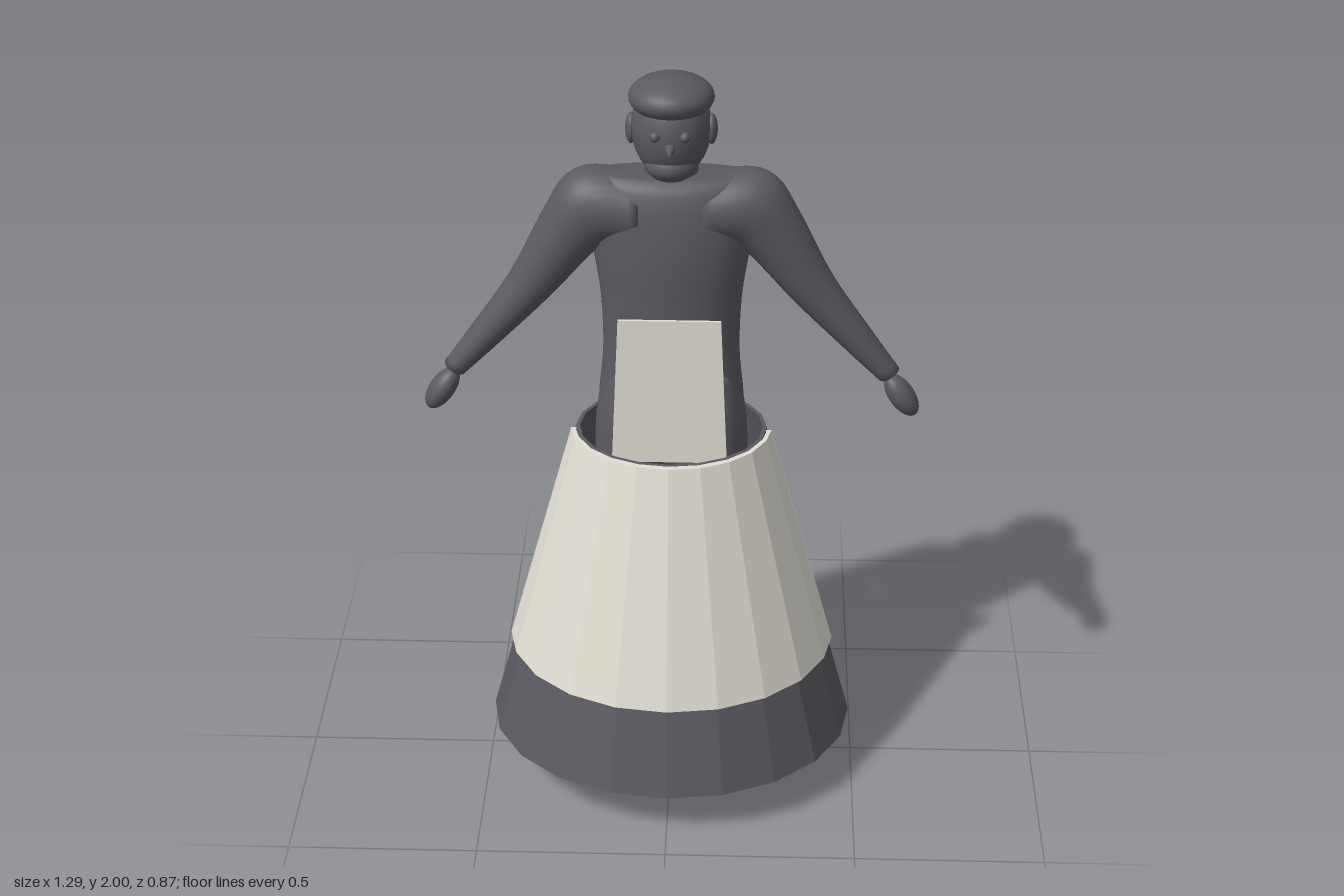
import * as THREE from 'three';
import { RoundedBoxGeometry } from 'three/addons/geometries/RoundedBoxGeometry.js';

const mat = (name, color) => {
  const m = new THREE.MeshStandardMaterial({ color });
  m.name = name;
  return m;
};

// Skin over elliptical rings. Row: [x, y, angle of first axis, radius in plane, radius in z].
function loft(rows, sides, arc = Math.PI * 2, minZ = -Infinity) {
  const pos = [], idx = [], closed = arc > 6, n = closed ? sides : sides + 1;
  rows.forEach(([x, y, a, ru, rz]) => {
    for (let j = 0; j < n; j++) {
      const t = (j / sides) * arc, u = Math.cos(t) * ru;
      pos.push(x + Math.cos(a) * u, y + Math.sin(a) * u, Math.max(minZ, Math.sin(t) * rz));
    }
  });
  for (let i = 0; i < rows.length - 1; i++) {
    for (let j = 0; j < sides; j++) {
      const k = (j + 1) % n, a = i * n + j, b = i * n + k;
      idx.push(a, b, a + n, b, b + n, a + n);
    }
  }
  const g = new THREE.BufferGeometry();
  g.setAttribute('position', new THREE.Float32BufferAttribute(pos, 3));
  g.setIndex(idx);
  g.computeVertexNormals();
  return g;
}

// Smoothly interpolated limb with closed ends.
function limb(rows, sides = 32, steps = 28) {
  const curve = new THREE.CubicInterpolant(rows.map((_, i) => i), rows.flat(), 5);
  const out = [];
  for (let i = 0; i <= steps; i++) out.push(Array.from(curve.evaluate((i / steps) * (rows.length - 1))));
  const tip = (r) => [r[0], r[1], r[2], 0, 0];
  return loft([tip(out[0]), ...out, tip(out[steps])], sides);
}

function faceted(g) {
  const f = g.toNonIndexed();
  f.computeVertexNormals();
  return f;
}

export function createModel() {
  const model = new THREE.Group();
  const dark = mat('charcoal', 0x5a5a61);
  const cream = mat('cream', 0xe2dfd4);
  const grey = mat('grey', 0x9c9c9e);

  const add = (name, geometry, material, x = 0, y = 0, z = 0) => {
    const m = new THREE.Mesh(geometry, material);
    m.name = name;
    m.position.set(x, y, z);
    model.add(m);
    return m;
  };
  const ball = (name, x, y, z, rx, ry, rz) => {
    const m = add(name, new THREE.SphereGeometry(1, 32, 20), dark, x, y, z);
    m.scale.set(rx, ry, rz);
    return m;
  };

  // Torso
  add('torso', limb([
    [0, 1.745, 0, 0.2, 0.055], [0, 1.72, 0, 0.215, 0.085], [0, 1.65, 0, 0.215, 0.105],
    [0, 1.53, 0, 0.198, 0.114], [0, 1.4, 0, 0.18, 0.11], [0, 1.25, 0, 0.176, 0.106],
    [0, 1.12, 0, 0.188, 0.106], [0, 1.05, 0, 0.18, 0.1], [0, 0.98, 0, 0.1, 0.05],
  ]), dark);
  add('neck', new THREE.CylinderGeometry(0.06, 0.075, 0.12, 32), dark, 0, 1.75, -0.01);

  // Head
  ball('head', 0, 1.865, -0.005, 0.1, 0.134, 0.114);
  ball('beard', 0, 1.782, 0.035, 0.066, 0.046, 0.064);
  ball('cap', 0, 1.944, -0.003, 0.107, 0.056, 0.121).rotation.x = -0.08;
  add('nose', new THREE.ConeGeometry(0.017, 0.065, 20), dark, 0, 1.848, 0.125).rotation.x = Math.PI / 2;

  for (const s of [1, -1]) {
    const side = s > 0 ? 'left' : 'right';
    ball(side + 'Eye', s * 0.037, 1.877, 0.101, 0.013, 0.013, 0.013);
    ball(side + 'Ear', s * 0.1, 1.86, 0, 0.015, 0.04, 0.027);

    // Arm and hand
    const arm = add(side + 'Arm', limb([
      [0.08, 1.65, 1.57, 0.088, 0.1], [0.19, 1.652, 1.1, 0.105, 0.092], [0.255, 1.585, 0.65, 0.085, 0.08],
      [0.36, 1.43, 0.56, 0.06, 0.062], [0.48, 1.283, 0.55, 0.042, 0.046], [0.563, 1.185, 0.55, 0.03, 0.034],
    ]), dark);
    if (s < 0) arm.rotation.y = Math.PI;
    ball(side + 'Hand', s * 0.598, 1.123, 0, 0.033, 0.067, 0.04).rotation.z = s * 0.6;

    // Leg and foot
    const leg = add(side + 'Leg', limb([
      [0.09, 1.2, 0, 0.08, 0.085], [0.1, 1.05, 0, 0.097, 0.104], [0.108, 0.85, 0, 0.09, 0.095],
      [0.12, 0.5, 0, 0.07, 0.072], [0.13, 0.2, 0, 0.056, 0.056], [0.13, 0.125, 0, 0.035, 0.035],
    ]), dark);
    if (s < 0) leg.rotation.y = Math.PI;
    add(side + 'Foot', new RoundedBoxGeometry(0.112, 0.107, 0.31, 4, 0.025), dark, s * 0.13, 0.0535, 0.035);

    // Side edge of the apron
    const edge = new THREE.Shape([[0.248, 1.02], [0.262, 1.02], [0.437, 0.38], [0.42, 0.38]]
      .map(([x, y]) => new THREE.Vector2(s * x, y)));
    add(side + 'ApronEdge', new THREE.ExtrudeGeometry(edge, { depth: 0.004, bevelEnabled: false }), cream, 0, 0, 0.016);
  }

  // Faceted open skirt: outer wall, hem, inner wall, waist rim
  add('skirt', faceted(loft([
    [0, 1.02, 0, 0.25, 0.217], [0, 0.135, 0, 0.49, 0.435], [0, 0.135, 0, 0.48, 0.425],
    [0, 1.02, 0, 0.24, 0.207], [0, 1.02, 0, 0.25, 0.217],
  ], 20)), dark);

  // Apron wrapped over the front half of the skirt
  add('apron', faceted(loft([
    [0, 1.02, 0, 0.262, 0.235], [0, 0.38, 0, 0.437, 0.392], [0, 0.38, 0, 0.425, 0.378],
    [0, 1.02, 0, 0.251, 0.218], [0, 1.02, 0, 0.262, 0.235],
  ], 10, Math.PI, 0.018)), cream);

  // Apron bib
  const bib = new THREE.Shape([[-0.148, 1], [0.148, 1], [0.13, 1.405], [-0.13, 1.405]]
    .map(([x, y]) => new THREE.Vector2(x, y)));
  add('bib', new THREE.ExtrudeGeometry(bib, { depth: 0.008, bevelEnabled: false }), cream, 0, 0, 0.152);

  // Round knob on the back
  add('backKnob', faceted(new THREE.SphereGeometry(0.068, 20, 14)), grey, 0, 1.603, -0.128);

  return model;
}
